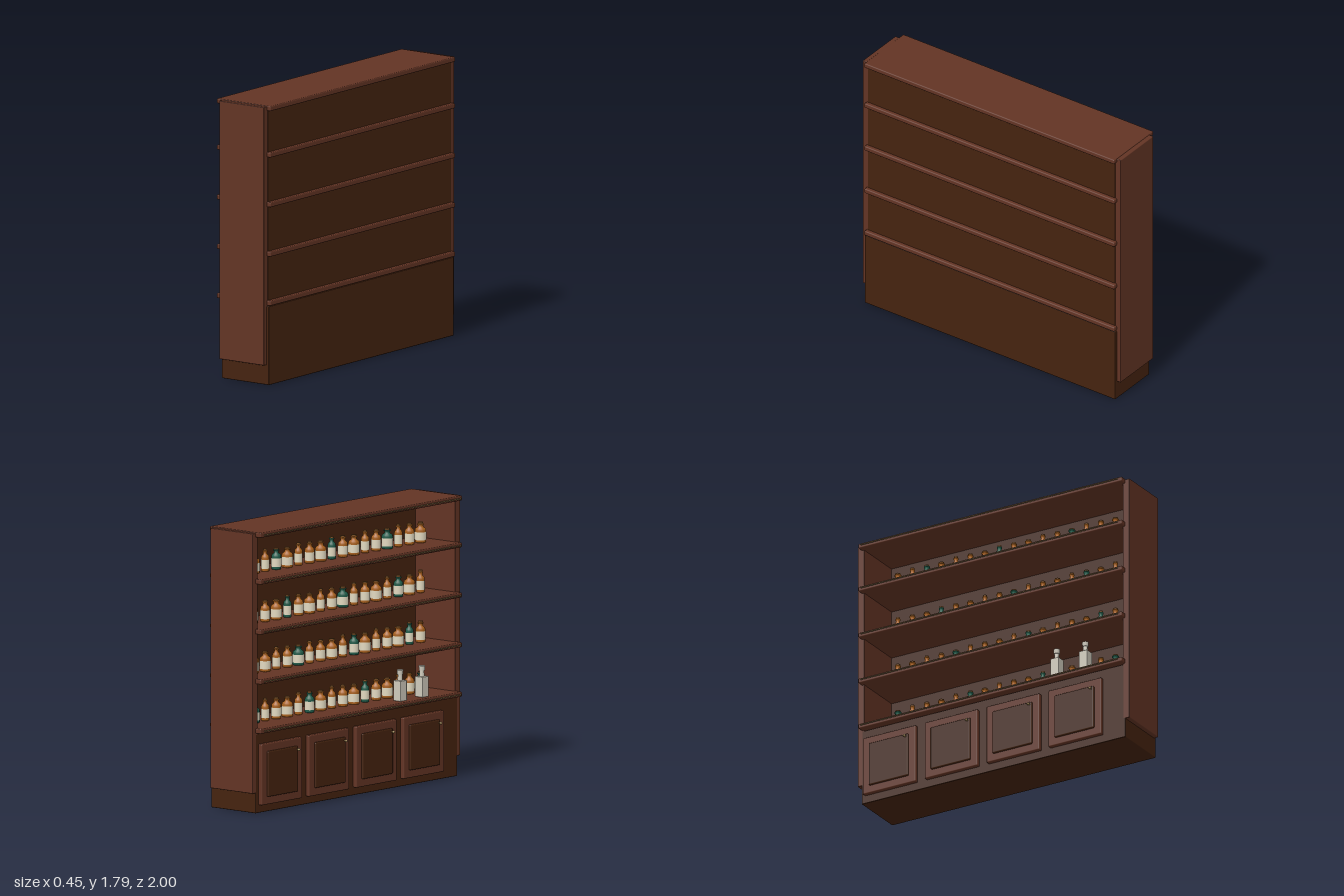
import * as THREE from 'three';
import { RoundedBoxGeometry } from 'three/addons/geometries/RoundedBoxGeometry.js';

const mat = (name, color) => {
  const m = new THREE.MeshStandardMaterial({ color });
  m.name = name;
  return m;
};

export function createModel() {
  const redWood = mat('red brown wood', 0x633424);
  const darkWood = mat('dark wood', 0x45230f);
  const brass = mat('aged brass', 0x9a8150);
  const amber = mat('amber glass', 0xa8601c);
  const green = mat('green glass', 0x1f5a48);
  const paper = mat('label paper', 0xe2d9c0);
  const cork = mat('cork', 0x8a5a2c);
  const ceramic = mat('pale ceramic', 0xcfcabc);

  const root = new THREE.Group();
  root.name = 'cabinet';

  const add = (parent, name, geometry, material, x = 0, y = 0, z = 0) => {
    const mesh = new THREE.Mesh(geometry, material);
    mesh.name = name;
    mesh.position.set(x, y, z);
    parent.add(mesh);
    return mesh;
  };
  // Softened box given by its limits on each axis
  const block = (parent, name, material, x0, x1, y0, y1, z0, z1, r = 0.005) =>
    add(parent, name, new RoundedBoxGeometry(x1 - x0, y1 - y0, z1 - z0, 2, r), material,
      (x0 + x1) / 2, (y0 + y1) / 2, (z0 + z1) / 2);

  // Carcass
  block(root, 'base', darkWood, -0.16, 0.21, 0, 0.505, -0.97, 0.97);
  block(root, 'backPanel', darkWood, 0.17, 0.195, 0.5, 1.77, -0.96, 0.96);
  for (const s of [-1, 1]) {
    block(root, 'endPanel', redWood, -0.16, 0.192, 0.128, 1.785, s * 0.975 - 0.025, s * 0.975 + 0.025);
  }

  // Shelves with a beaded brass rail along the front edge
  const shelfY = [0.525, 0.84, 1.157, 1.476, 1.774];
  const railGeo = new THREE.CylinderGeometry(0.003, 0.003, 1.89, 8).rotateX(Math.PI / 2);
  const beadGeo = new THREE.SphereGeometry(0.005, 8, 6);
  for (const y of shelfY) {
    block(root, 'shelf', redWood, -0.202, 0.221, y - 0.016, y + 0.016, -0.97, 0.968, 0.007);
    const rail = new THREE.Group();
    rail.name = 'shelfRail';
    root.add(rail);
    add(rail, 'railRod', railGeo, brass, -0.212, y, 0);
    for (let i = 0; i < 72; i++) add(rail, 'railBead', beadGeo, brass, -0.212, y, -0.94 + (i * 1.88) / 71);
  }

  // Cupboard doors: frame, raised panel and knob
  const knobGeo = new THREE.SphereGeometry(0.009, 12, 8);
  const stemGeo = new THREE.CylinderGeometry(0.004, 0.004, 0.04, 8).rotateZ(Math.PI / 2);
  for (let i = 0; i < 4; i++) {
    const z = -0.75 + i * 0.455;
    const door = new THREE.Group();
    door.name = 'door';
    root.add(door);
    block(door, 'doorFrame', redWood, -0.19, -0.158, 0.05, 0.44, z - 0.195, z + 0.195, 0.008);
    block(door, 'doorPanel', darkWood, -0.202, -0.18, 0.1, 0.39, z - 0.145, z + 0.145, 0.008);
    add(door, 'knobStem', stemGeo, brass, -0.2, 0.37, z + 0.13);
    add(door, 'knob', knobGeo, brass, -0.218, 0.37, z + 0.13);
  }

  // Three bottle shapes: wide, medium and slim
  const shapes = [[0.036, 0.128], [0.031, 0.135], [0.026, 0.142]].map(([r, h]) => {
    const points = [[0, 0], [r * 0.9, 0], [r, 0.005], [r, h * 0.6], [r * 0.9, h * 0.69],
      [r * 0.5, h * 0.77], [r * 0.46, h * 0.87], [r * 0.62, h * 0.88], [r * 0.62, h * 0.93], [0, h * 0.93]];
    return {
      r, h,
      glass: new THREE.LatheGeometry(points.map(p => new THREE.Vector2(...p)), 16),
      label: new THREE.CylinderGeometry(r + 0.001, r + 0.001, h * 0.4, 16, 1, true),
      stopper: new THREE.CylinderGeometry(r * 0.48, r * 0.42, h * 0.1, 12),
    };
  });
  const bottle = (shape, glass, x, y, z) => {
    const g = new THREE.Group();
    g.name = 'bottle';
    g.position.set(x, y, z);
    add(g, 'bottleGlass', shape.glass, glass);
    add(g, 'bottleLabel', shape.label, paper, 0, shape.h * 0.33, 0);
    add(g, 'bottleStopper', shape.stopper, cork, 0, shape.h * 0.96, 0);
    root.add(g);
  };
  for (let row = 0; row < 4; row++) {
    for (let k = 0; k < 16; k++) {
      bottle(shapes[(k * 2 + row) % 3], (k + row) % 5 === 0 ? green : amber,
        0, shelfY[row] + 0.016, -0.8 + k * 0.1067);
    }
  }

  // Square pale flasks on the lowest shelf
  for (const z of [0.45, 0.66]) {
    const flask = new THREE.Group();
    flask.name = 'squareFlask';
    flask.position.set(-0.133, 0.541, z);
    root.add(flask);
    add(flask, 'flaskBody', new RoundedBoxGeometry(0.062, 0.13, 0.062, 2, 0.004), ceramic, 0, 0.065, 0);
    add(flask, 'flaskNeck', new THREE.CylinderGeometry(0.014, 0.016, 0.04, 12), ceramic, 0, 0.15, 0);
    add(flask, 'flaskStopper', new THREE.CylinderGeometry(0.021, 0.019, 0.03, 12), ceramic, 0, 0.182, 0);
  }

  return root;
}
